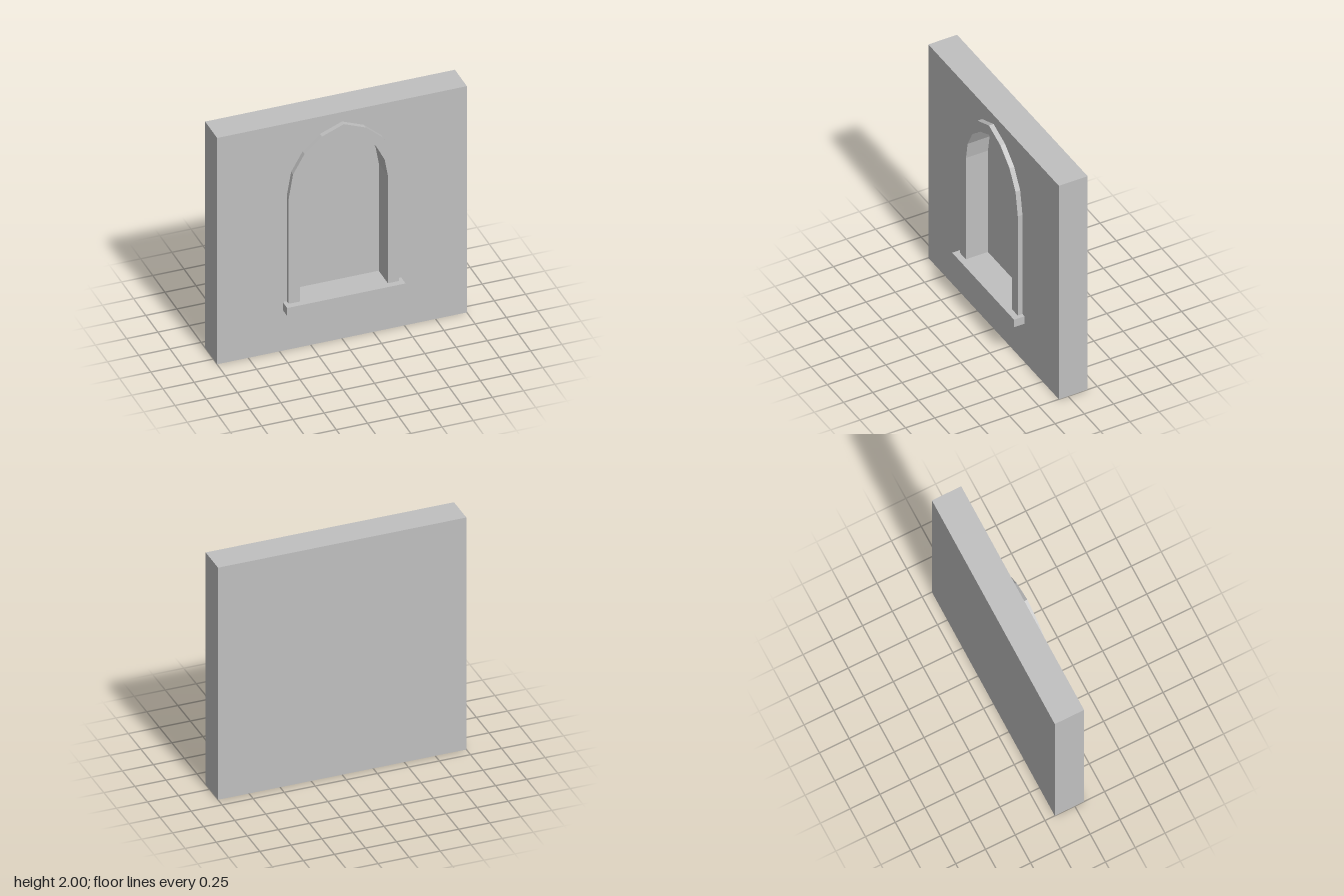
import * as THREE from 'three';

const stone = new THREE.MeshStandardMaterial({ color: 0xc0c0c0 });
stone.name = 'stone grey';

// Depths from back to front
const BACK = -0.168, RECESS = -0.07, FACE = 0.078, FRAME = 0.118, SILL = 0.168;
const SILL_TOP = 0.43, SILL_BOTTOM = 0.36;

// Right half of each pointed arch, from the spring line to the apex
const outerHalf = [[0.442, 1.36], [0.407, 1.565], [0.315, 1.725], [0.176, 1.847], [0, 1.917]];
const innerHalf = [[0.352, 1.38], [0.326, 1.53], [0.256, 1.666], [0.143, 1.767], [0, 1.831]];

// Full arch outline, counter-clockwise from bottom right to bottom left
function archPoints(half, bottom) {
  const right = [[half[0][0], bottom], ...half];
  const left = right.slice(0, -1).reverse().map(([x, y]) => [-x, y]);
  return [...right, ...left].map(([x, y]) => new THREE.Vector2(x, y));
}

function addMesh(group, name, geometry) {
  const mesh = new THREE.Mesh(geometry, stone);
  mesh.name = name;
  group.add(mesh);
}

function extrude(shape, z0, z1) {
  return new THREE.ExtrudeGeometry(shape, { depth: z1 - z0, bevelEnabled: false }).translate(0, 0, z0);
}

function box(x0, x1, y0, y1, z0, z1) {
  return new THREE.BoxGeometry(x1 - x0, y1 - y0, z1 - z0)
    .translate((x0 + x1) / 2, (y0 + y1) / 2, (z0 + z1) / 2);
}

export function createModel() {
  const group = new THREE.Group();
  group.name = 'archedWindowWall';

  // Solid slab behind the niche
  addMesh(group, 'wallBack', box(-1, 1, 0, 2, BACK, RECESS));

  // Front layer of the wall with the arched opening
  const wall = new THREE.Shape([[-1, 0], [1, 0], [1, 2], [-1, 2]].map(([x, y]) => new THREE.Vector2(x, y)));
  wall.holes.push(new THREE.Path(archPoints(innerHalf, 0.39).reverse()));
  addMesh(group, 'wallFront', extrude(wall, RECESS, FACE));

  // Raised surround standing on the sill
  const surround = new THREE.Shape([
    ...archPoints(outerHalf, SILL_TOP),
    ...archPoints(innerHalf, SILL_TOP).reverse(),
  ]);
  addMesh(group, 'archSurround', extrude(surround, FACE, FRAME));

  // Sill running from the back of the niche out past the surround
  addMesh(group, 'windowSill', box(-0.474, 0.474, SILL_BOTTOM, SILL_TOP, RECESS, SILL));

  return group;
}
